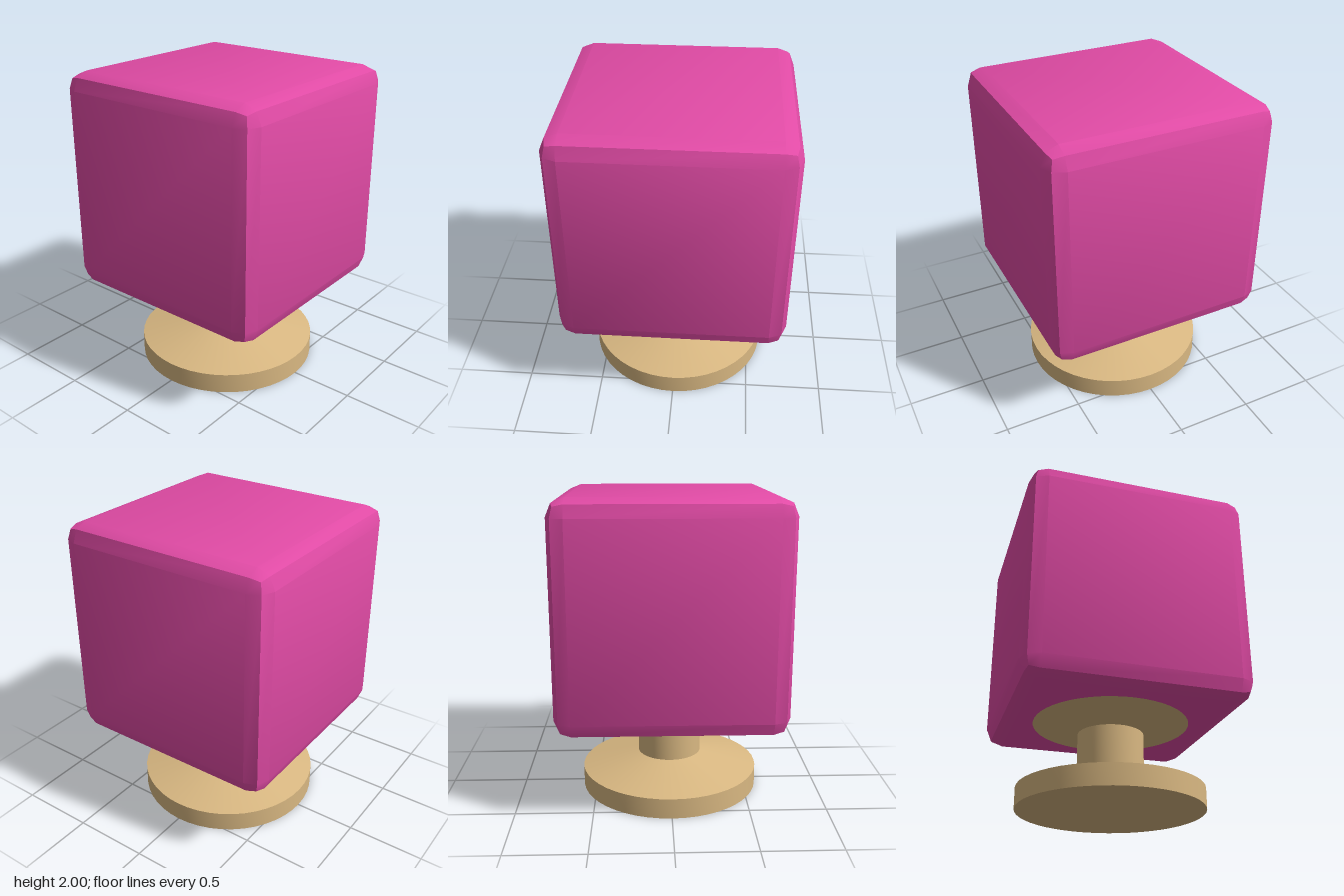
import * as THREE from 'three';
import { toCreasedNormals } from 'three/addons/utils/BufferGeometryUtils.js';
import { RoundedBoxGeometry } from 'three/addons/geometries/RoundedBoxGeometry.js';

const CREASE = THREE.MathUtils.degToRad(30);

export function createModel() {
  const group = new THREE.Group();
  group.name = 'cubeKnob';

  const pink = new THREE.MeshStandardMaterial({ color: 0xe24ba6 });
  pink.name = 'pink';
  const tan = new THREE.MeshStandardMaterial({ color: 0xd9b882 });
  tan.name = 'tan';

  // Cube: one bevel step per side, creased where the sides meet
  const size = 1.436;
  const cube = new THREE.Mesh(
    toCreasedNormals(new RoundedBoxGeometry(size, size, size, 1, 0.11), CREASE),
    pink
  );
  cube.name = 'cube';
  cube.position.y = 2 - size / 2;
  group.add(cube);

  // Stand: disc foot, sloped shoulder, neck and a flare that ends inside the cube
  const profile = [
    [0, 0], [0.593, 0], [0.593, 0.132], [0.212, 0.23],
    [0.212, 0.497], [0.593, 0.585], [0, 0.585],
  ].map(([r, y]) => new THREE.Vector2(r, y));
  const stand = new THREE.Mesh(
    toCreasedNormals(new THREE.LatheGeometry(profile, 48), CREASE),
    tan
  );
  stand.name = 'stand';
  group.add(stand);

  return group;
}
